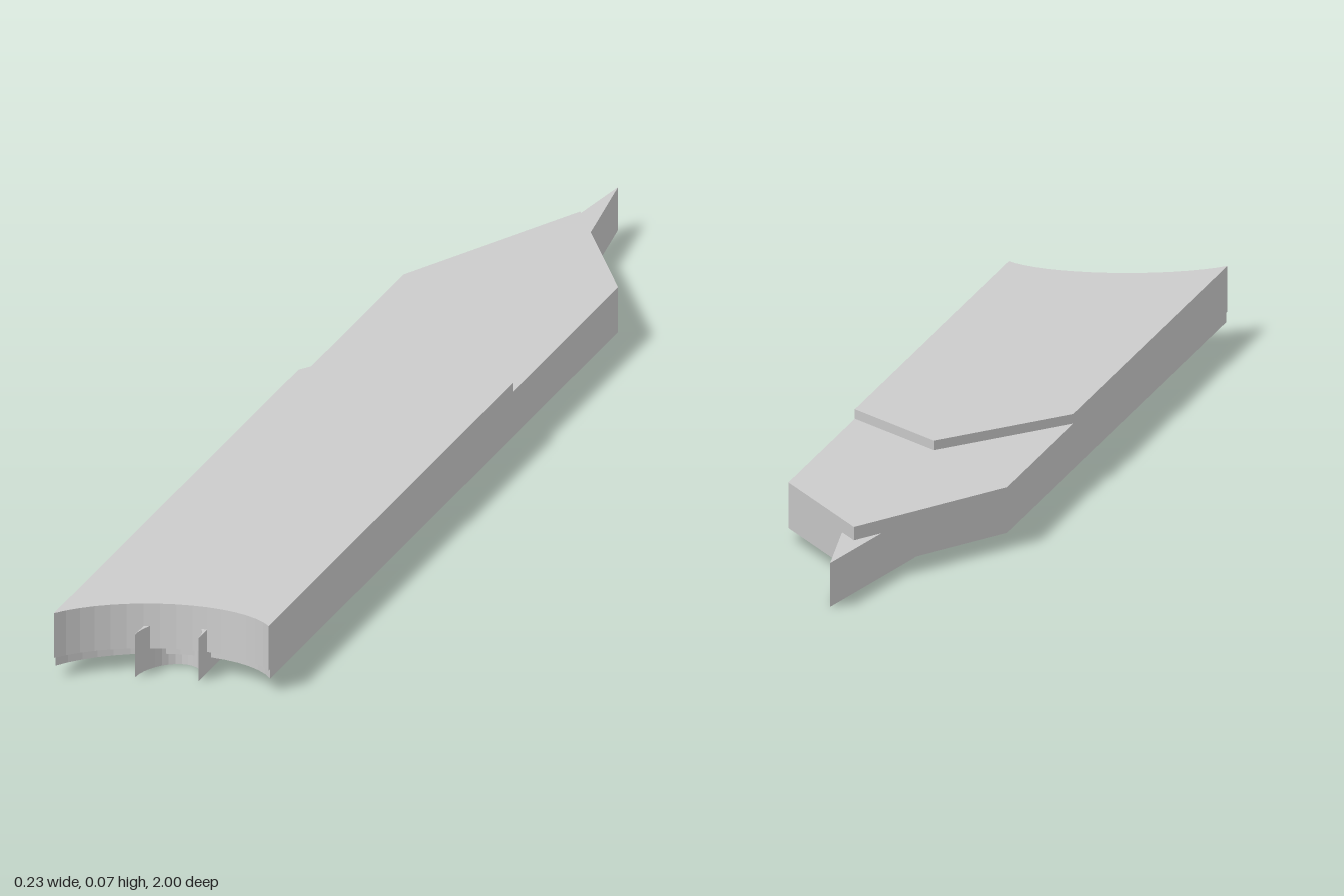
import * as THREE from 'three';

// Flat plate seen from above: scooped front edge, pointed back.
// half: half width, front: z of the front corners, scoop: depth of the hollow,
// shoulder: z where the taper starts, tip: z of the point
function plate(name, { half, front, scoop, arc, shoulder, tip, bottom, top }) {
  const pts = [];
  const n = 16;
  const end = Math.sin(arc), low = Math.cos(arc);
  for (let i = 0; i <= n; i++) {
    const a = -arc + (2 * arc * i) / n;
    const depth = (Math.cos(a) - low) / (1 - low);
    pts.push(new THREE.Vector2((half * Math.sin(a)) / end, front - scoop * depth));
  }
  pts.push(new THREE.Vector2(half, shoulder), new THREE.Vector2(0, tip), new THREE.Vector2(-half, shoulder));
  const geo = new THREE.ExtrudeGeometry(new THREE.Shape(pts), { depth: top - bottom, bevelEnabled: false });
  geo.rotateX(Math.PI / 2).translate(0, top, 0);
  const mesh = new THREE.Mesh(geo, new THREE.MeshStandardMaterial({ color: 0xcccccc, flatShading: true }));
  mesh.name = name;
  return mesh;
}

export function createModel() {
  const group = new THREE.Group();
  group.name = 'pointedSlat';
  const body = { half: 0.115, front: 1, scoop: 0.067, arc: 1.05, shoulder: -0.53, tip: -0.835 };

  group.add(
    // Raised top layer ending in a chevron
    plate('topLayer', { ...body, shoulder: -0.07, tip: -0.28, bottom: 0.06, top: 0.07 }),
    // Main body with the long taper
    plate('mainBody', { ...body, bottom: 0.022, top: 0.06 }),
    // Lower layer, set back slightly at the front
    plate('lowerLayer', { ...body, front: 0.993, scoop: 0.078, bottom: 0.012, top: 0.022 }),
    // Narrow keel with two front prongs and a long point at the back
    plate('keel', {
      half: 0.034, front: 0.975, scoop: 0.066, arc: Math.PI / 2,
      shoulder: -0.64, tip: -1, bottom: 0, top: 0.046,
    }),
  );
  return group;
}
